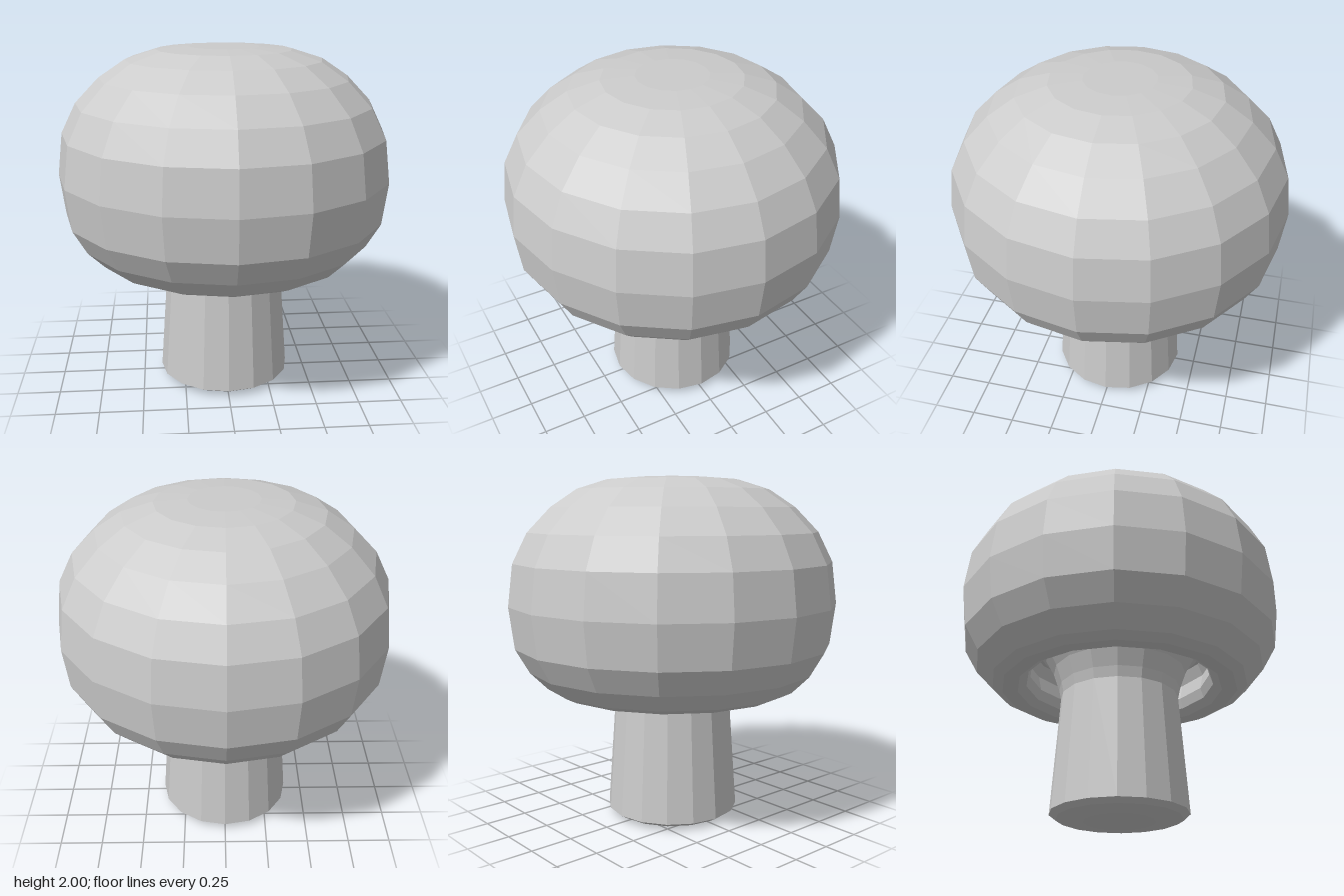
import * as THREE from 'three';

const SIDES = 16;

// Faceted turned part from a list of [radius, height] points
function turned(name, profile) {
  const points = profile.map(([r, y]) => new THREE.Vector2(r, y));
  const material = new THREE.MeshStandardMaterial({ color: 0xcccccc, flatShading: true });
  const mesh = new THREE.Mesh(new THREE.LatheGeometry(points, SIDES), material);
  mesh.name = name;
  return mesh;
}

export function createModel() {
  const group = new THREE.Group();
  group.name = 'mushroom';

  // Stem: bevelled foot, slight taper, flaring into the underside of the cap
  group.add(turned('stem', [
    [0, 0], [0.2, 0], [0.35, 0.015], [0.39, 0.04],
    [0.342, 0.72], [0.355, 0.78], [0.39, 0.88], [0.44, 0.97], [0.5, 1.03],
  ]));

  // Cap: hollow underside, rolled lip, rounded dome with a flattened crown
  group.add(turned('cap', [
    [0.4, 1.06], [0.52, 1.03], [0.55, 0.96], [0.53, 0.87], [0.55, 0.81], [0.6, 0.775],
    [0.69, 0.77], [0.75, 0.8], [0.85, 0.9], [0.93, 1.04], [0.96, 1.28],
    [0.93, 1.52], [0.845, 1.69], [0.71, 1.83], [0.56, 1.93], [0.385, 1.985],
    [0.2, 2], [0, 2],
  ]));

  return group;
}
